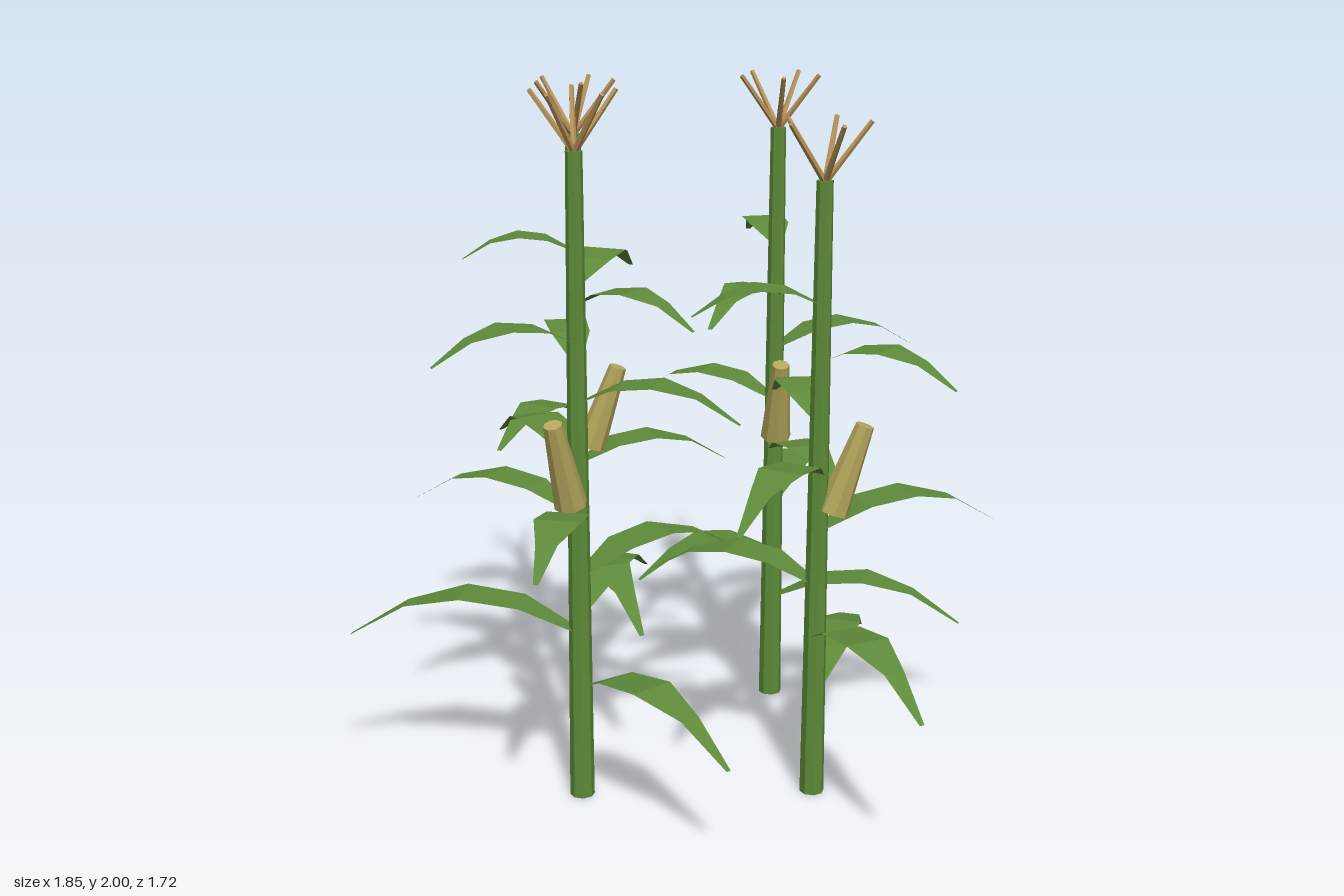
import * as THREE from 'three';

const mat = (name, color) => {
  const m = new THREE.MeshStandardMaterial({ color, flatShading: true });
  m.name = name;
  return m;
};

// Flat arching blade of unit length along +x: stations are [distance, half width]
function leafGeometry() {
  const stations = [[0, 0.02], [0.25, 0.06], [0.5, 0.065], [0.75, 0.03], [1, 0.007]];
  const pos = [], idx = [];
  stations.forEach(([t, w], i) => {
    const y = 0.69 * t - 0.745 * t * t;
    pos.push(t, y, -w, t, y, w);
    if (i > 0) {
      const a = 2 * (i - 1);
      idx.push(a, a + 1, a + 2, a + 1, a + 3, a + 2);
    }
  });
  const g = new THREE.BufferGeometry();
  g.setAttribute('position', new THREE.Float32BufferAttribute(pos, 3));
  g.setIndex(idx);
  g.computeVertexNormals();
  return g;
}

// Each plant: foot position, stalk height, heading in degrees, leaf lengths from the lowest up
const PLANTS = [
  { x: -0.245, z: -0.325, h: 1.81, a: 298, leaves: [0.555, 0.55, 0.585, 0.47, 0.4, 0.445, 0.43, 0.33] },
  { x: 0.37, z: -0.395, h: 1.81, a: 21.6, leaves: [0.595, 0.47, 0.52, 0.465, 0.46, 0.457, 0.42, 0.33] },
  { x: -0.285, z: 0.25, h: 1.84, a: 56, leaves: [0.615, 0.66, 0.55, 0.45, 0.475, 0.455, 0.41, 0.38] },
  { x: 0.37, z: 0.31, h: 1.76, a: 295, leaves: [0.595, 0.572, 0.5, 0.547, 0.496, 0.41, 0.4, 0.355] },
];

export function createModel() {
  const stalkMat = mat('stalk green', 0x5c8a38);
  const leafMat = mat('leaf green', 0x5f8a3a);
  leafMat.side = THREE.DoubleSide;
  const earMat = mat('husk yellow', 0xb5a75c);
  const tasselMat = mat('tassel tan', 0xb8935a);

  const leafGeo = leafGeometry();
  const earGeo = new THREE.CylinderGeometry(0.026, 0.046, 0.26, 8).translate(0, 0.13, 0);
  const tasselGeo = new THREE.CylinderGeometry(0.007, 0.009, 0.2, 5).translate(0, 0.1, 0);

  const model = new THREE.Group();
  model.name = 'cornPatch';

  for (const p of PLANTS) {
    const plant = new THREE.Group();
    plant.name = 'cornPlant';
    plant.position.set(p.x, 0, p.z);
    model.add(plant);

    // Adds a part turned to a heading (degrees from +x towards +z) and leaning outwards
    const add = (name, geo, material, y, deg = 0, lean = 0, out = 0) => {
      const m = new THREE.Mesh(geo, material);
      m.name = name;
      const a = THREE.MathUtils.degToRad(deg);
      m.rotation.set(0, -a, -lean);
      m.position.set(Math.cos(a) * out, y, Math.sin(a) * out);
      plant.add(m);
      return m;
    };

    add('stalk', new THREE.CylinderGeometry(0.023, 0.035, p.h, 8), stalkMat, p.h / 2);

    // Leaves spiral up the stalk by the golden angle
    p.leaves.forEach((len, i) => {
      add('leaf', leafGeo, leafMat, (0.18 + 0.09 * i) * p.h, p.a + 137.5 * i).scale.set(len, len, 1);
    });

    add('ear', earGeo, earMat, 0.48 * p.h, p.a + 70, 0.33, 0.04);

    // Tassel of five spreading spikes
    for (let i = 0; i < 5; i++) {
      add('tasselSpike', tasselGeo, tasselMat, p.h - 0.005, p.a + 72 * i, 0.64);
    }
  }
  return model;
}
